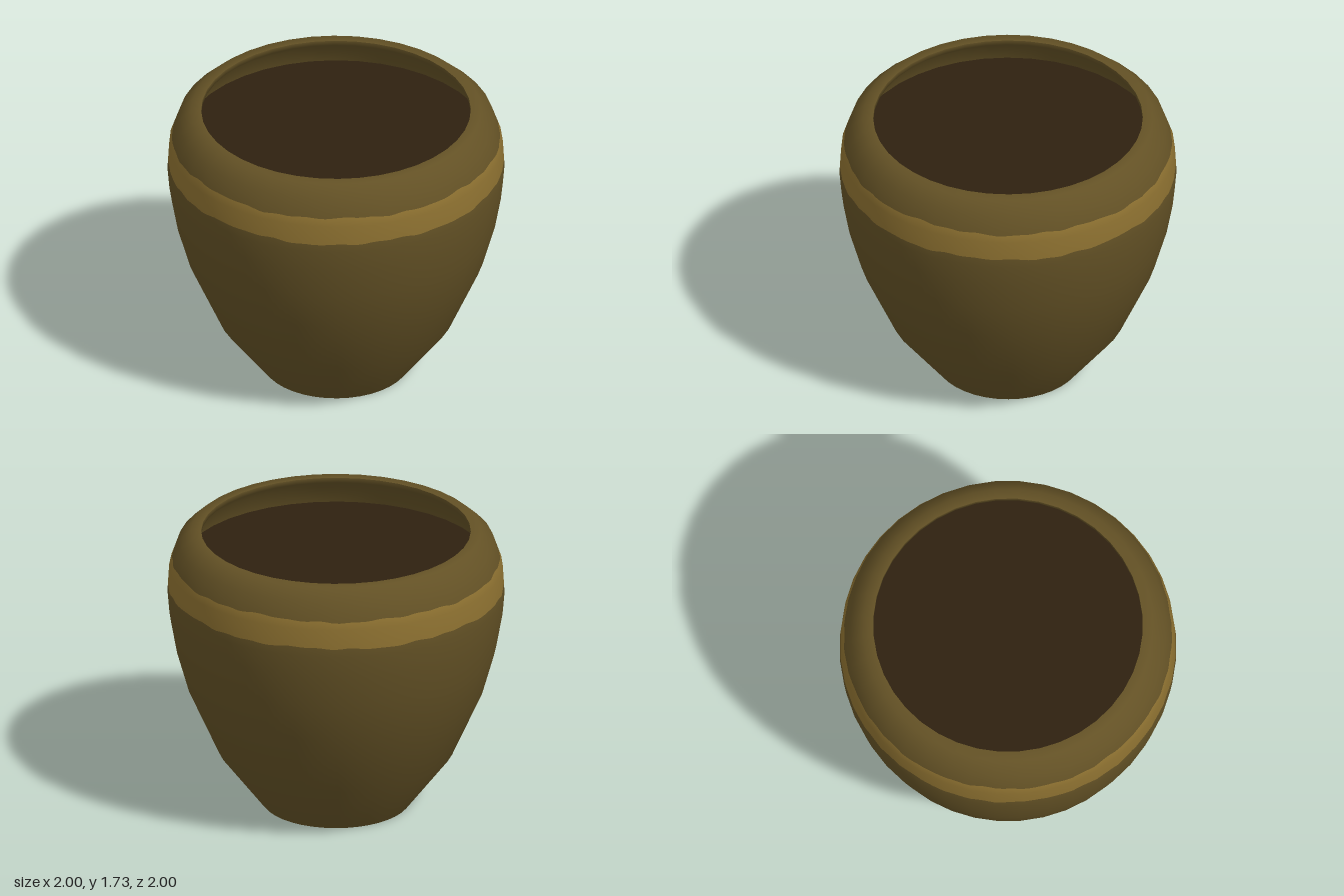
import * as THREE from 'three';

const SIDES = 40, STEPS = 160; // silhouette facets; finer steps for the uneven stripe

// Outer profile from foot to lip, as [radius, height]
const OUTER = [[0.44, 0], [0.70, 0.34], [0.88, 0.745], [0.952, 1.0], [0.988, 1.2], [1.0, 1.34],
  [0.997, 1.39], [0.99, 1.51], [0.974, 1.555], [0.937, 1.66], [0.86, 1.73], [0.80, 1.73]];
const STRIPE_LOW = 6, STRIPE_HIGH = 8; // rows where the stripe starts and ends

const wave = (a, s) =>
  0.004 * Math.sin(7 * a + s) + 0.003 * Math.sin(17 * a + 2 * s) + 0.003 * Math.sin(31 * a + 3 * s);

// Turns a profile, giving it the faceted outline
function turn(points) {
  const g = new THREE.LatheGeometry(points.map(([r, y]) => new THREE.Vector2(r, y)), STEPS);
  const p = g.attributes.position;
  const sector = 2 * Math.PI / SIDES;
  for (let i = 0; i < p.count; i++) {
    const step = Math.floor(i / points.length);
    const a = (step / STEPS * 2 * Math.PI) % sector - sector / 2;
    const k = step % (STEPS / SIDES) === 0 ? 1 : Math.cos(sector / 2) / Math.cos(a);
    p.setX(i, p.getX(i) * k);
    p.setZ(i, p.getZ(i) * k);
  }
  return g;
}

// Keeps only the rows from..to of a turned surface, so pieces share smooth normals
function rows(g, count, from, to) {
  const piece = g.clone(), index = [];
  for (let i = 0; i < STEPS; i++) {
    for (let j = from; j < to; j++) {
      const start = (i * (count - 1) + j) * 6;
      for (let k = 0; k < 6; k++) index.push(g.index.getX(start + k));
    }
  }
  piece.setIndex(index);
  return piece;
}

export function createModel() {
  const group = new THREE.Group();
  const material = (name, color) => {
    const m = new THREE.MeshStandardMaterial({ color });
    m.name = name;
    return m;
  };
  const glaze = material('olive glaze', 0x635125);
  const gold = material('ochre stripe', 0x8c7030);
  const soil = material('dark soil', 0x2e2110);
  const add = (name, geometry, mat) => {
    const mesh = new THREE.Mesh(geometry, mat);
    mesh.name = name;
    group.add(mesh);
    return mesh;
  };

  // Outer wall, with the stripe edges wandering slightly along the slope
  const n = OUTER.length;
  const wall = turn(OUTER);
  const p = wall.attributes.position;
  for (let i = 0; i <= STEPS; i++) {
    const a = i / STEPS * 2 * Math.PI;
    for (const j of [STRIPE_LOW, STRIPE_HIGH]) {
      const v = i * n + j, dy = wave(a, j);
      const [r0, y0] = OUTER[j], [r1, y1] = OUTER[dy > 0 ? j + 1 : j - 1];
      const k = 1 + (r1 - r0) / (y1 - y0) * dy / r0;
      p.setXYZ(v, p.getX(v) * k, y0 + dy, p.getZ(v) * k);
    }
  }
  add('lowerWall', rows(wall, n, 0, STRIPE_LOW), glaze);
  add('stripe', rows(wall, n, STRIPE_LOW, STRIPE_HIGH), gold);
  add('shoulderAndLip', rows(wall, n, STRIPE_HIGH, n - 1), glaze);

  // Inner wall from the lip down to the soil
  add('innerWall', turn([[0.80, 1.73], [0.80, 1.70], [0.87, 1.64], [0.91, 1.53]]), glaze);

  // Soil surface and underside
  const top = add('soil', new THREE.CircleGeometry(0.91, SIDES), soil);
  top.rotation.x = -Math.PI / 2;
  top.position.y = 1.53;
  const base = add('base', new THREE.CircleGeometry(0.44, SIDES), glaze);
  base.rotation.x = Math.PI / 2;
  return group;
}
